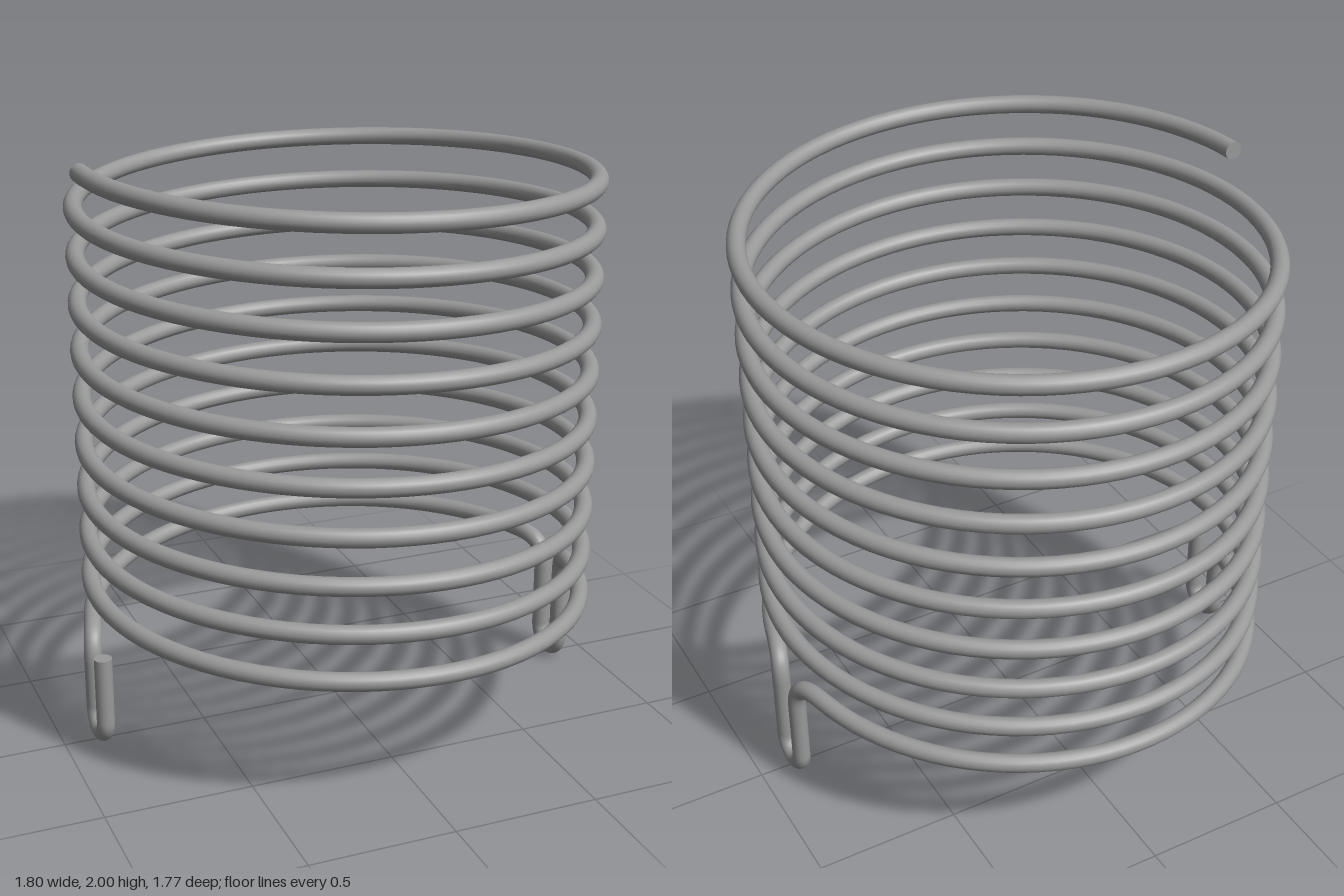
import * as THREE from 'three';

const R = 0.855;       // coil radius
const WIRE = 0.031;    // wire radius
const PITCH = 0.161;   // drop per turn
const TOP = 1.969;     // wire centre at the upper end
const GAP = 0.0376;    // part of a turn left open on each side of a hook
const LEG_X = 0.87, LEG_Z = 0.066;
const SIDES = 16;

const V = (x, y, z) => new THREE.Vector3(x, y, z);

// Descending helix, measured in turns, starting at -x and heading to +z
function helixPoint(t) {
  const a = t * Math.PI * 2;
  return V(-R * Math.cos(a), TOP - PITCH * t, R * Math.sin(a));
}
const helixTangent = (t) => helixPoint(t + 0.001).sub(helixPoint(t - 0.001)).normalize();

class Helix extends THREE.Curve {
  constructor(from, to) {
    super();
    this.from = from;
    this.to = to;
  }
  getPoint(u, target = new THREE.Vector3()) {
    return target.copy(helixPoint(this.from + (this.to - this.from) * u));
  }
}

// Rounded bend from the coil at turn t down to the top of a hook leg
function bend(t, dir, legX, legZ) {
  const start = helixPoint(t);
  const end = V(legX, start.y - 0.11, legZ);
  const c1 = start.clone().addScaledVector(helixTangent(t), 0.1 * dir);
  const c2 = V(legX, start.y - 0.02, legZ);
  return { start, c1, c2, end };
}

// U-shaped hook: down one leg, round the bottom, up the other
function hookPath(t, x, inZ, closed) {
  const path = new THREE.CurvePath();
  const outZ = -inZ, r = Math.abs(inZ), k = 0.5523;
  const yArc = WIRE + r, yLow = WIRE;
  const a = bend(t - GAP, 1, x, inZ);
  path.add(new THREE.CubicBezierCurve3(a.start, a.c1, a.c2, a.end));
  path.add(new THREE.LineCurve3(a.end, V(x, yArc, inZ)));
  path.add(new THREE.CubicBezierCurve3(
    V(x, yArc, inZ), V(x, yArc - r * k, inZ), V(x, yLow, inZ * k), V(x, yLow, 0)));
  path.add(new THREE.CubicBezierCurve3(
    V(x, yLow, 0), V(x, yLow, outZ * k), V(x, yArc - r * k, outZ), V(x, yArc, outZ)));
  if (closed) {
    const b = bend(t + GAP, -1, x, outZ);
    path.add(new THREE.LineCurve3(V(x, yArc, outZ), b.end));
    path.add(new THREE.CubicBezierCurve3(b.end, b.c2, b.c1, b.start));
  } else {
    path.add(new THREE.LineCurve3(V(x, yArc, outZ), V(x, 0.335, outZ)));
  }
  return path;
}

export function createModel() {
  const group = new THREE.Group();
  const steel = new THREE.MeshStandardMaterial({ color: 0x999999 });
  steel.name = 'steel';

  function add(name, geometry) {
    const mesh = new THREE.Mesh(geometry, steel);
    mesh.name = name;
    group.add(mesh);
    return mesh;
  }
  const wire = (name, curve, segments) =>
    add(name, new THREE.TubeGeometry(curve, segments, WIRE, SIDES, false));

  // Coils
  wire('mainCoil', new Helix(0, 9.5 - GAP), 800);
  wire('bottomCoil', new Helix(9.5 + GAP, 10 - GAP), 40);

  // Hooks
  wire('middleHook', hookPath(9.5, LEG_X, LEG_Z, true), 120);
  wire('endHook', hookPath(10, -LEG_X, -LEG_Z, false), 100);

  // Flat wire ends
  function cap(name, position, normal) {
    const mesh = add(name, new THREE.CircleGeometry(WIRE, SIDES));
    mesh.position.copy(position);
    mesh.quaternion.setFromUnitVectors(V(0, 0, 1), normal);
  }
  cap('topWireEnd', helixPoint(0), V(0, 0, -1));
  cap('hookWireEnd', V(-LEG_X, 0.335, LEG_Z), V(0, 1, 0));

  return group;
}
